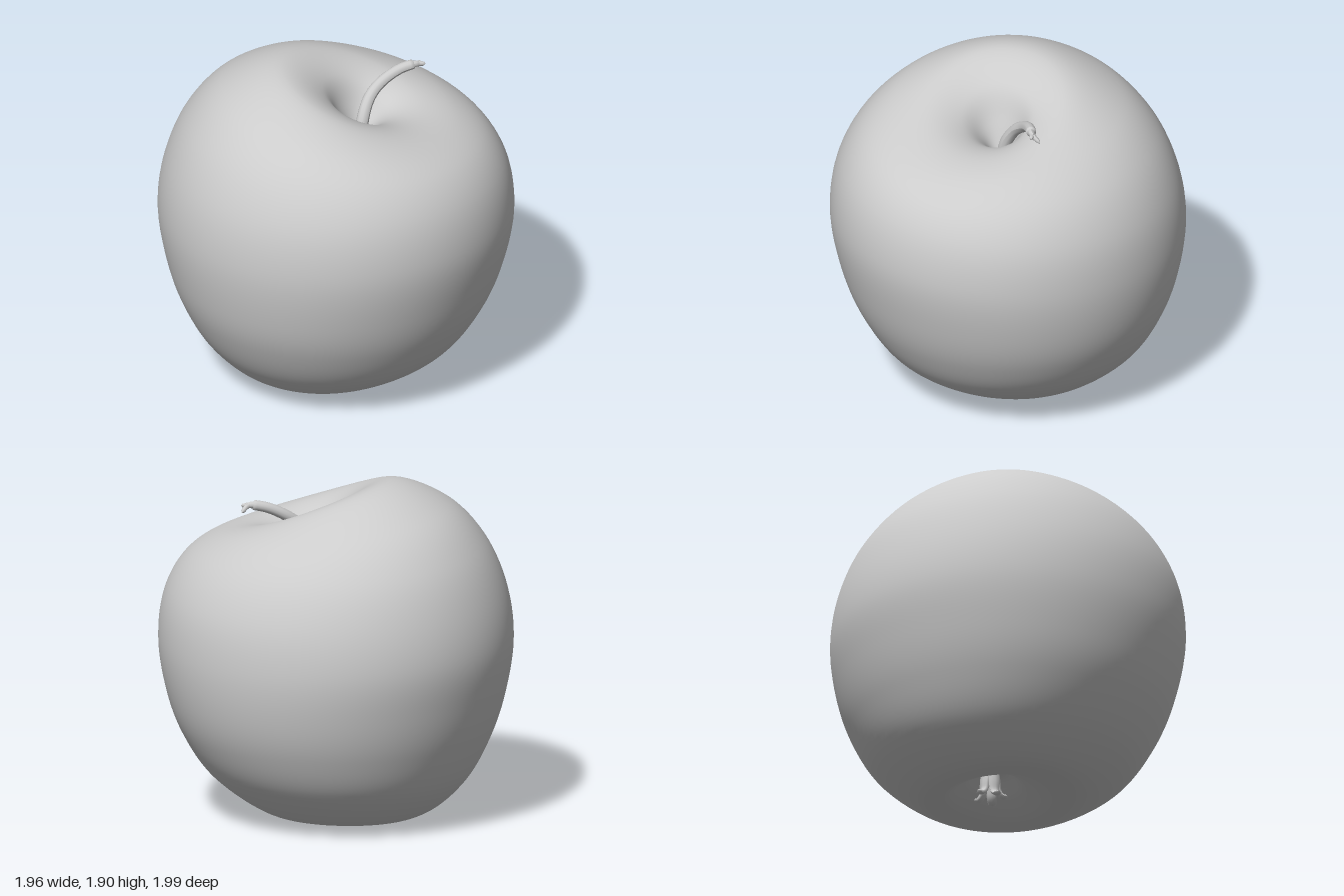
import * as THREE from 'three';

const material = new THREE.MeshStandardMaterial({ color: 0xcccccc, roughness: 0.8 });
const V = (x, y, z = 0) => new THREE.Vector3(x, y, z);

// Four meridians of the fruit, from the lower hollow to the stem hollow: [offset, height]
const RIGHT = [[0, .2], [.06, .18], [.15, .1], [.29, .03], [.43, .04], [.72, .25], [.87, .48], [.945, .7],
  [.975, .98], [.935, 1.25], [.81, 1.48], [.61, 1.64], [.4, 1.695], [.25, 1.65], [.15, 1.54], [.04, 1.38]];
const BACK = [[-.12, .2], [-.19, .18], [-.28, .1], [-.42, .02], [-.54, .05], [-.75, .23], [-.88, .48], [-.955, .73],
  [-.995, 1], [-.955, 1.27], [-.85, 1.52], [-.66, 1.73], [-.3, 1.88], [-.07, 1.775], [.02, 1.6], [.1, 1.38]];
const LEFT = [[0, .2], [-.07, .18], [-.18, .1], [-.38, .03], [-.51, .055], [-.71, .23], [-.86, .48], [-.935, .7],
  [-.98, 1.03], [-.94, 1.33], [-.81, 1.59], [-.62, 1.76], [-.37, 1.83], [-.17, 1.73], [-.06, 1.57], [.04, 1.38]];
const FRONT = [[-.12, .2], [-.05, .18], [.06, .08], [.23, 0], [.39, .045], [.67, .23], [.835, .47], [.935, .73],
  [.995, 1.05], [.955, 1.32], [.85, 1.49], [.69, 1.59], [.48, 1.635], [.31, 1.6], [.2, 1.52], [.1, 1.38]];

// Elliptical rings through the meridians, with height blended smoothly around each ring
function fruitGeometry(rows = 120, segs = 96) {
  const curves = [RIGHT, BACK, LEFT, FRONT].map(
    m => new THREE.CatmullRomCurve3(m.map(([r, y]) => V(r, y))));
  const position = [], index = [];
  for (let i = 0; i <= rows; i++) {
    const [r, b, l, f] = curves.map(c => c.getPoint(i / rows));
    const mean = (r.y + b.y + l.y + f.y) / 4;
    const twist = (r.y + l.y - b.y - f.y) / 4;
    for (let j = 0; j < segs; j++) {
      const a = j / segs * Math.PI * 2, c = Math.cos(a), s = Math.sin(a);
      position.push(
        (r.x + l.x) / 2 + (r.x - l.x) / 2 * c,
        mean + (r.y - l.y) / 2 * c + (b.y - f.y) / 2 * s + twist * Math.cos(2 * a),
        (f.x + b.x) / 2 - (f.x - b.x) / 2 * s);
      if (i < rows) {
        const k = (j + 1) % segs, p = i * segs, q = p + segs;
        index.push(p + j, p + k, q + k, p + j, q + k, q + j);
      }
    }
  }
  const g = new THREE.BufferGeometry();
  g.setAttribute('position', new THREE.Float32BufferAttribute(position, 3));
  g.setIndex(index);
  g.computeVertexNormals();
  return g;
}

// Tube whose radius runs from r0 to r1, closed by pulling in its last ring
function taperedTube(points, r0, r1, steps = 24, sides = 12) {
  const curve = new THREE.CatmullRomCurve3(points);
  const g = new THREE.TubeGeometry(curve, steps, 1, sides);
  const pos = g.attributes.position, v = V(0, 0);
  for (let i = 0; i < pos.count; i++) {
    const ring = Math.floor(i / (sides + 1));
    const centre = curve.getPointAt(ring / steps);
    const radius = ring === steps ? 0.0005 : THREE.MathUtils.lerp(r0, r1, ring / steps);
    v.fromBufferAttribute(pos, i).sub(centre).multiplyScalar(radius).add(centre);
    pos.setXYZ(i, v.x, v.y, v.z);
  }
  g.computeVertexNormals();
  return g;
}

function add(parent, name, geometry) {
  const mesh = new THREE.Mesh(geometry, material);
  mesh.name = name;
  parent.add(mesh);
  return mesh;
}

export function createModel() {
  const model = new THREE.Group();
  model.name = 'apple';
  add(model, 'fruitBody', fruitGeometry());

  // Bent stem with a frayed tip
  const stem = new THREE.Group();
  stem.name = 'stem';
  model.add(stem);
  add(stem, 'stemShaft', taperedTube([V(.06, 1.34, .12), V(.1, 1.54, .11), V(.17, 1.645, .105),
    V(.25, 1.705, .12), V(.35, 1.76, .17), V(.43, 1.782, .225)], .038, .028, 40));
  const tips = [V(.5, 1.745, .225), V(.47, 1.775, .265), V(.46, 1.79, .24)];
  tips.forEach(tip => add(stem, 'stemTip',
    taperedTube([V(.4, 1.777, .205), V(.44, 1.778, .232), tip], .022, .01, 10, 8)));

  // Withered sepals curling out of the lower hollow
  const calyx = new THREE.Group();
  calyx.name = 'calyx';
  calyx.position.set(0, 0, -.14);
  model.add(calyx);
  for (let i = 0; i < 5; i++) {
    const drop = .012 * (i % 2);
    const sepal = add(calyx, 'sepal', taperedTube([V(.02, .21), V(.04, .11), V(.05, .045 + drop),
      V(.075, .022 + drop), V(.1, .032 + drop)], .026, .011, 16, 8));
    sepal.scale.z = 1.8;
    sepal.rotation.y = i / 5 * Math.PI * 2 + .3;
  }
  return model;
}
